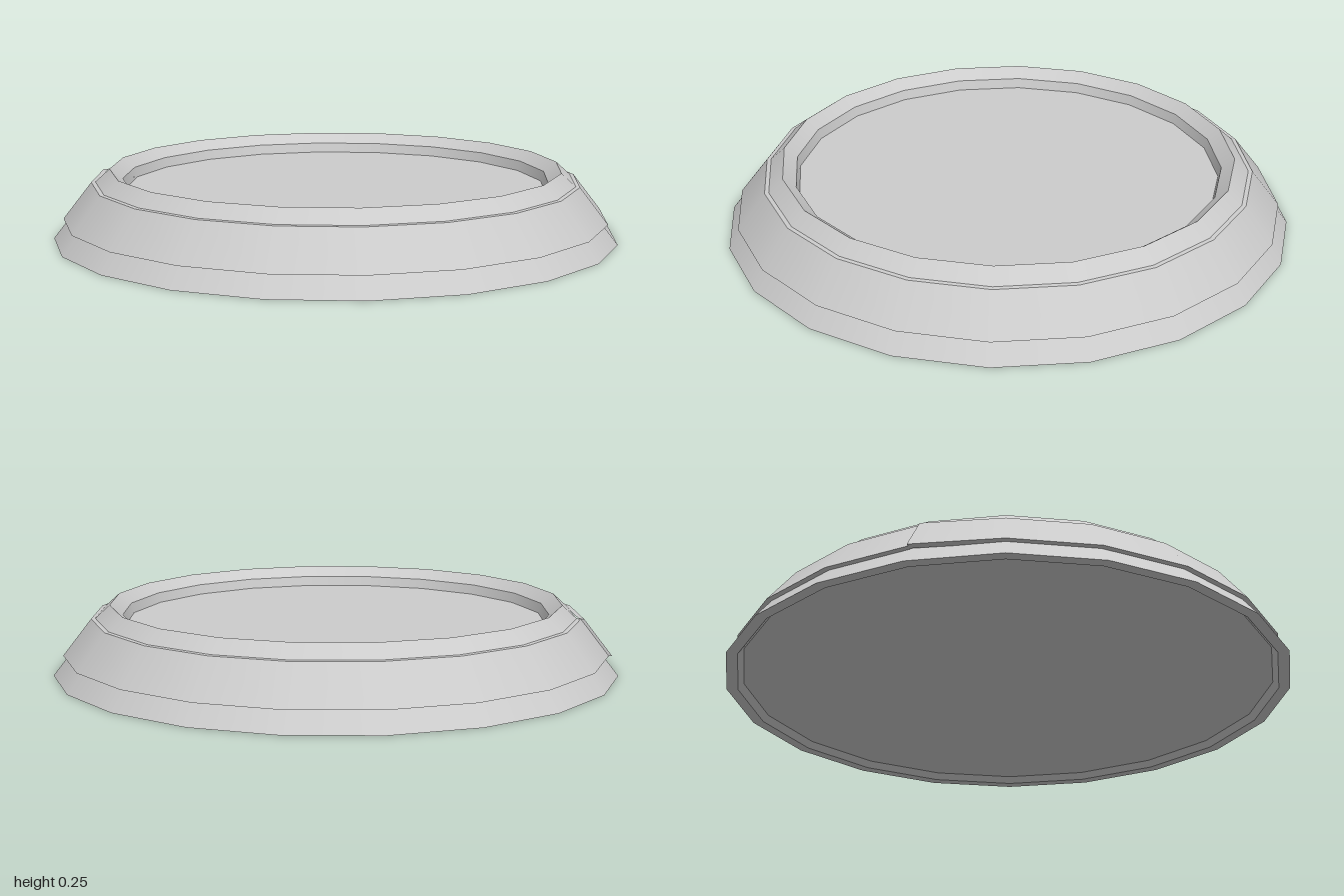
import * as THREE from 'three';
import { mergeGeometries } from 'three/addons/utils/BufferGeometryUtils.js';

const SIDES = 20;
const SEAM = Math.PI * 1.5; // lathe angle of the -x side
const material = new THREE.MeshStandardMaterial({ color: 0xcccccc });

// Turn each profile edge separately: smooth around, sharp between rings.
// seamLift pushes the first ring outwards so the strip overlaps at its seam.
function turned(profile, seamLift = 0) {
  const rings = [];
  for (let i = 0; i < profile.length - 1; i++) {
    const pts = [profile[i], profile[i + 1]].map(([r, y]) => new THREE.Vector2(r, y));
    const ring = new THREE.LatheGeometry(pts, SIDES, SEAM);
    const pos = ring.attributes.position;
    for (let v = 0; v < 2; v++) pos.setX(v, pos.getX(v) - seamLift);
    rings.push(ring);
  }
  return mergeGeometries(rings);
}

function addPart(group, name, geometry) {
  const mesh = new THREE.Mesh(geometry, material);
  mesh.name = name;
  group.add(mesh);
}

export function createModel() {
  const group = new THREE.Group();
  group.name = 'roundBase';

  // Body: hollowed underside, sloping skirt, bevelled lip and sunken floor
  addPart(group, 'body', turned([
    [0, 0.022], [0.94, 0.022], [0.96, 0], [1, 0],
    [0.945, 0.07], [0.85, 0.2], [0.8, 0.245],
    [0.755, 0.21], [0.745, 0.175], [0, 0.175],
  ]));

  // Raised band wrapped around the skirt
  const band = [[0.94, 0.068], [0.965, 0.07], [0.865, 0.198], [0.845, 0.2]];
  const lift = 0.012;
  addPart(group, 'band', turned(band, lift));

  // Exposed end of the band, facing the back
  const end = new THREE.ShapeGeometry(new THREE.Shape(
    band.map(([r, y]) => new THREE.Vector2(r + lift, y))));
  end.rotateY(Math.PI);
  addPart(group, 'bandEnd', end);

  return group;
}
